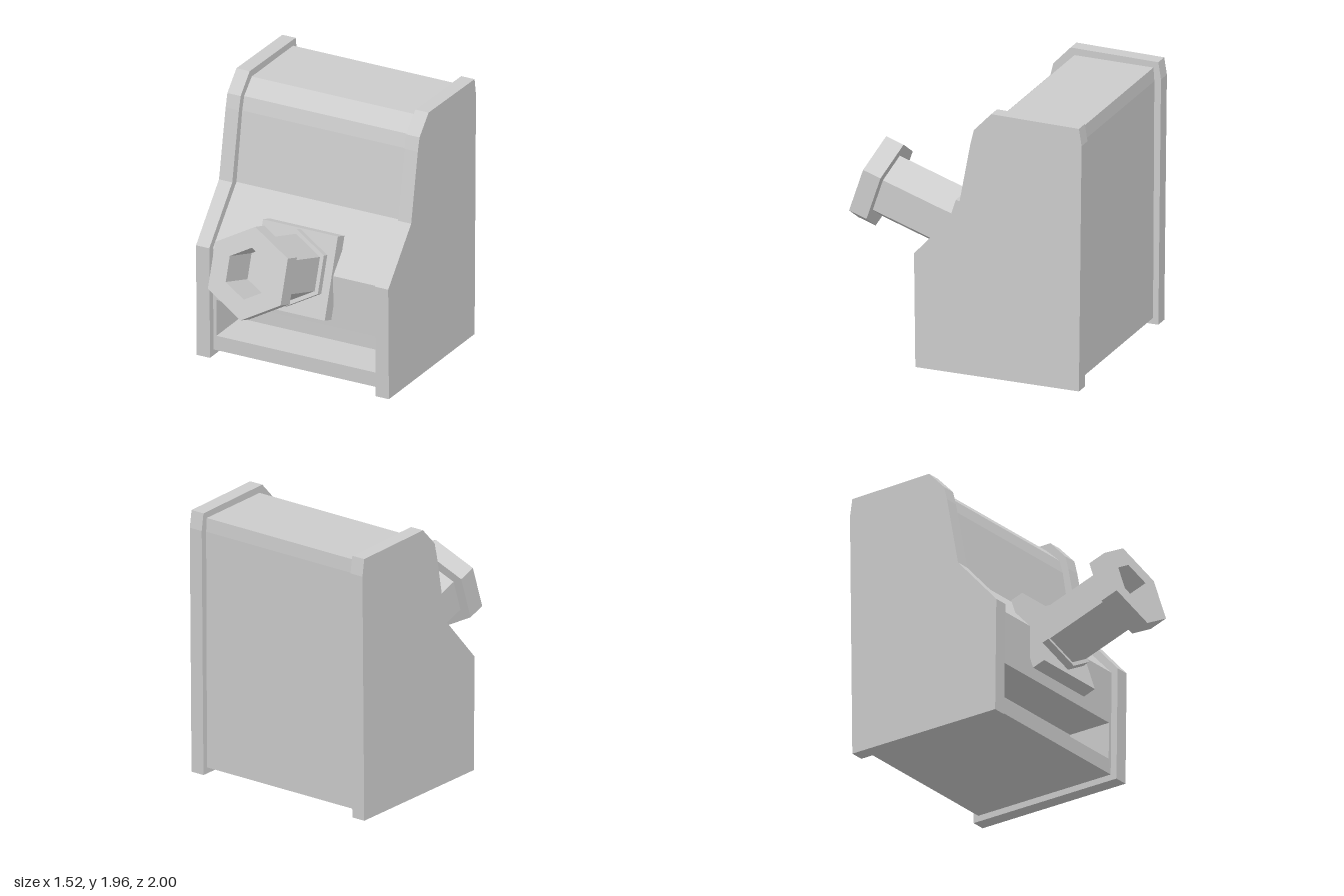
import * as THREE from 'three';

const material = new THREE.MeshStandardMaterial({ color: 0xcccccc, flatShading: true });

function addMesh(parent, name, geometry) {
  const mesh = new THREE.Mesh(geometry, material);
  mesh.name = name;
  parent.add(mesh);
  return mesh;
}

// Side outline given as [z, y] points, extruded along x from x0 to x1
function sideExtrude(points, x0, x1) {
  const shape = new THREE.Shape(points.map(([z, y]) => new THREE.Vector2(-z, y)));
  const geometry = new THREE.ExtrudeGeometry(shape, { depth: x1 - x0, bevelEnabled: false });
  return geometry.rotateY(Math.PI / 2).translate(x0, 0, 0);
}

// Hexagon points with a corner at the top
function hexPoints(radius) {
  return Array.from({ length: 6 }, (_, i) => {
    const a = Math.PI / 2 + (i * Math.PI) / 3;
    return new THREE.Vector2(radius * Math.cos(a), radius * Math.sin(a));
  });
}

// Hexagonal bar from z0 to z1, optionally with a hexagonal hole
function hexBar(radius, z0, z1, holeRadius = 0) {
  const shape = new THREE.Shape(hexPoints(radius));
  if (holeRadius) shape.holes.push(new THREE.Path(hexPoints(holeRadius)));
  return new THREE.ExtrudeGeometry(shape, { depth: z1 - z0, bevelEnabled: false }).translate(0, 0, z0);
}

export function createModel() {
  const model = new THREE.Group();
  model.name = 'spoutCabinet';

  // Thick side panels
  const panelOutline = [
    [0.25, 0], [0.26, 0.84], [-0.07, 1.21], [-0.165, 1.72], [-0.19, 1.82],
    [-0.32, 1.957], [-0.98, 1.945], [-1, 1.82], [-0.98, 0],
  ];
  addMesh(model, 'leftPanel', sideExtrude(panelOutline, 0.655, 0.76));
  addMesh(model, 'rightPanel', sideExtrude(panelOutline, -0.76, -0.655));

  // Body between the panels, with a tray slot cut into the lower front
  const bodyBack = [
    [0.208, 0.82], [-0.13, 1.19], [-0.213, 1.7], [-0.24, 1.8],
    [-0.35, 1.905], [-0.943, 1.9], [-0.95, 1.8], [-0.94, 0.045], [0.2, 0.045],
  ];
  const slot = [[0.202, 0.155], [-0.13, 0.155], [-0.13, 0.43], [0.204, 0.43]];
  addMesh(model, 'body', sideExtrude([...bodyBack, ...slot], -0.63, 0.63));
  addMesh(model, 'leftSlotEnd', sideExtrude(bodyBack, 0.63, 0.68));
  addMesh(model, 'rightSlotEnd', sideExtrude(bodyBack, -0.68, -0.63));

  // Tilted spout: local z runs outwards, origin at the centre of its front face
  const spout = new THREE.Group();
  spout.name = 'spout';
  spout.position.set(0, 1.05, 0.895);
  spout.rotation.x = -0.322;
  model.add(spout);

  addMesh(spout, 'spoutHead', hexBar(0.332, -0.138, 0, 0.184));
  addMesh(spout, 'spoutSleeve', hexBar(0.242, -0.33, -0.138, 0.184));
  addMesh(spout, 'spoutStem', hexBar(0.242, -0.66, -0.33));
  addMesh(spout, 'spoutCollar', hexBar(0.274, -0.705, -0.65));
  addMesh(spout, 'mountPlate', new THREE.BoxGeometry(0.592, 0.597, 0.1).translate(0, -0.018, -0.752));

  return model;
}
